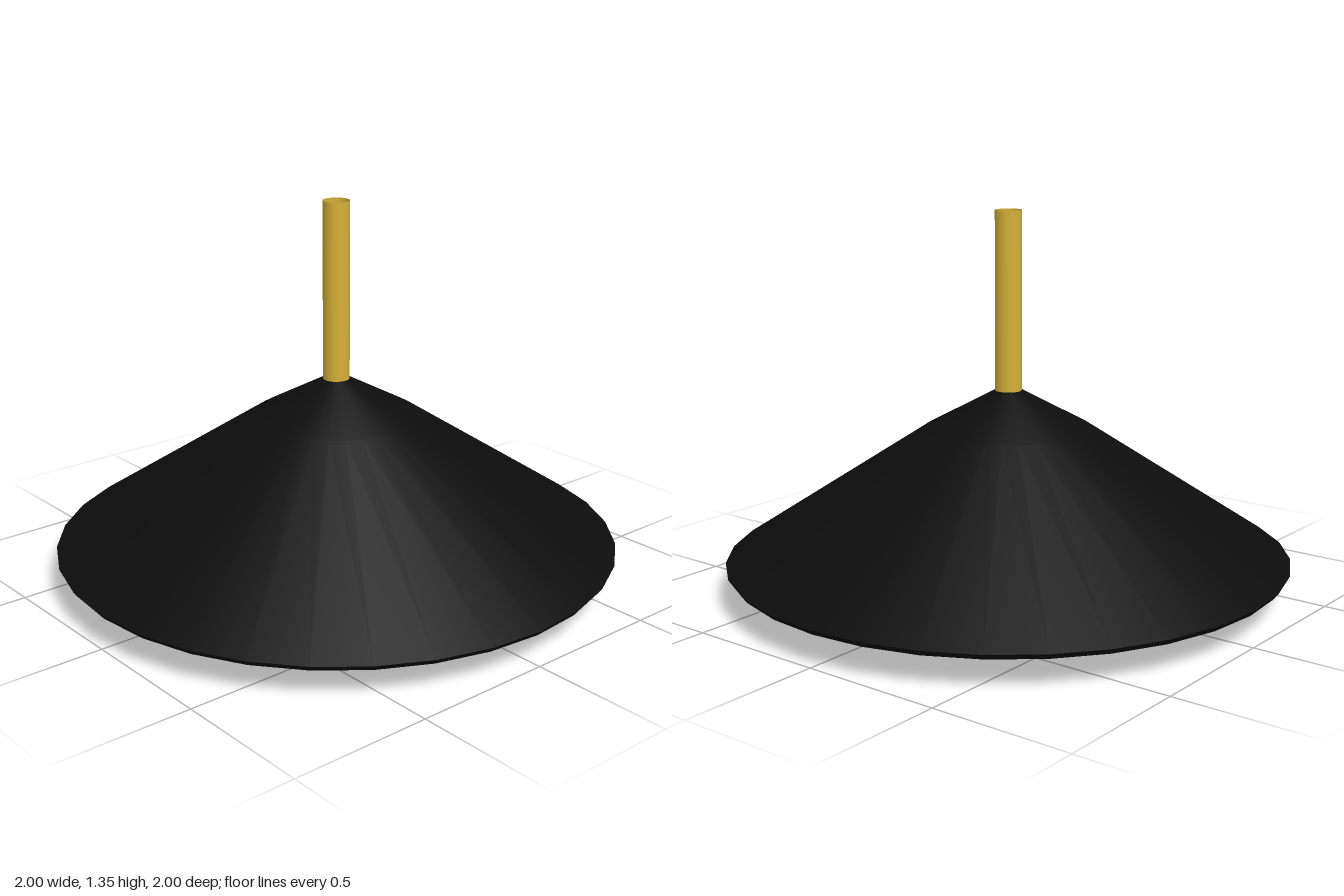
import * as THREE from 'three';

const SIDES = 32;

// Surface of revolution; points run upward for outward faces, downward for inward faces
function lathe(points, material, name) {
  const profile = points.map(([r, y]) => new THREE.Vector2(r, y));
  const mesh = new THREE.Mesh(new THREE.LatheGeometry(profile, SIDES), material);
  mesh.name = name;
  return mesh;
}

export function createModel() {
  const lamp = new THREE.Group();
  lamp.name = 'pendantLamp';

  const black = new THREE.MeshStandardMaterial({ color: 0x0d0d0d });
  const brass = new THREE.MeshStandardMaterial({ color: 0xd4af37, side: THREE.DoubleSide });
  const grey = new THREE.MeshStandardMaterial({ color: 0xcccccc });

  // Shade: separate bands keep the rim and top edges crisp
  const shade = new THREE.Group();
  shade.name = 'shade';
  shade.add(
    lathe([[1, 0.125], [0.29, 0.59], [0.05, 0.72]], black, 'shadeOuter'),
    lathe([[0.05, 0.72], [0, 0.72]], black, 'shadeTop'),
    lathe([[0.985, 0.105], [1, 0.125]], black, 'shadeRim'),
    lathe([[0.965, 0.105], [0.985, 0.105]], black, 'shadeLip'),
    lathe([[0, 0.695], [0.05, 0.69], [0.275, 0.567], [0.965, 0.105]], black, 'shadeInner'),
  );
  lamp.add(shade);

  // Open hanging tube
  const stem = new THREE.Mesh(
    new THREE.CylinderGeometry(0.047, 0.047, 0.65, SIDES, 1, true), brass);
  stem.name = 'stem';
  stem.position.y = 1.025;
  lamp.add(stem);

  // Bulb and its tapered socket
  const bulb = new THREE.Mesh(new THREE.SphereGeometry(0.255, SIDES, 16), grey);
  bulb.name = 'bulb';
  bulb.position.y = 0.255;
  lamp.add(bulb);

  const socket = new THREE.Mesh(new THREE.CylinderGeometry(0.108, 0.142, 0.21, SIDES), grey);
  socket.name = 'socket';
  socket.position.y = 0.555;
  lamp.add(socket);

  return lamp;
}
